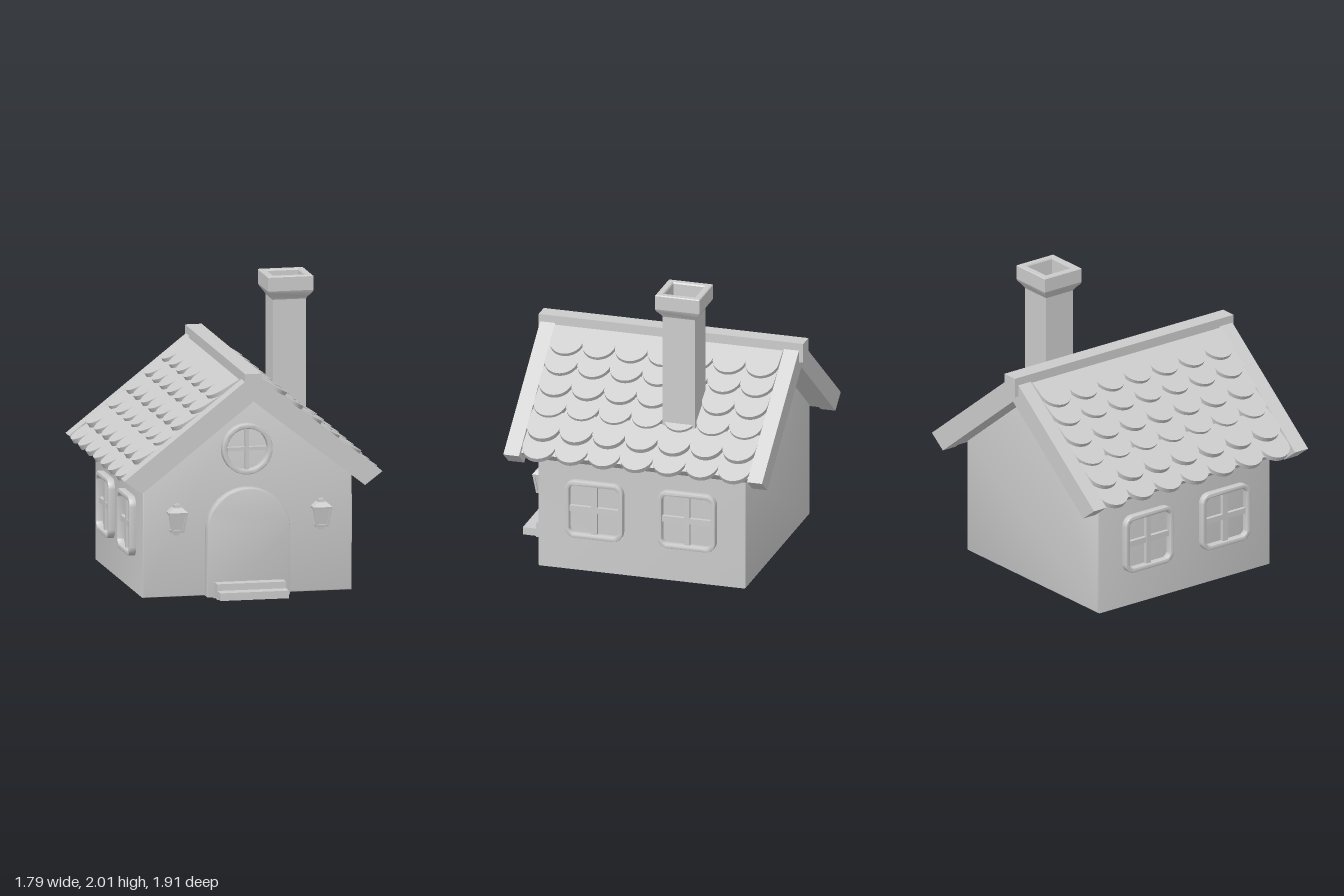
import * as THREE from 'three';
import { toCreasedNormals } from 'three/addons/utils/BufferGeometryUtils.js';

const mat = new THREE.MeshStandardMaterial({ color: 0xcccccc });

function add(parent, name, geo, x = 0, y = 0, z = 0) {
  const m = new THREE.Mesh(geo, mat);
  m.name = name;
  m.position.set(x, y, z);
  parent.add(m);
  return m;
}

function group(parent, name, x = 0, y = 0, z = 0) {
  const g = new THREE.Group();
  g.name = name;
  g.position.set(x, y, z);
  parent.add(g);
  return g;
}

const polygon = pts => new THREE.Shape(pts.map(p => new THREE.Vector2(p[0], p[1])));

// Extrude a shape from z0 to z1, keeping the bevel inside that range
function extrude(shape, z0, z1, bevel = 0) {
  const g = new THREE.ExtrudeGeometry(shape, {
    depth: z1 - z0 - 2 * bevel, curveSegments: 20, bevelEnabled: bevel > 0,
    bevelSize: bevel, bevelThickness: bevel, bevelOffset: -bevel, bevelSegments: 2,
  });
  g.translate(0, 0, z0 + bevel);
  return toCreasedNormals(g, 0.6);
}

// Box given by its limits
function box(parent, name, x0, x1, y0, y1, z0, z1) {
  return add(parent, name, new THREE.BoxGeometry(x1 - x0, y1 - y0, z1 - z0),
    (x0 + x1) / 2, (y0 + y1) / 2, (z0 + z1) / 2);
}

// Round-topped doorway: half width r, straight sides up to y = spring
function arch(r, spring) {
  const s = new THREE.Shape();
  s.moveTo(-r, 0);
  s.lineTo(r, 0);
  s.lineTo(r, spring);
  s.absarc(0, spring, r, 0, Math.PI, false);
  s.closePath();
  return s;
}

function roundedSquare(h, r) {
  const s = new THREE.Shape(), k = h - r;
  s.absarc(k, k, r, 0, Math.PI / 2);
  s.absarc(-k, k, r, Math.PI / 2, Math.PI);
  s.absarc(-k, -k, r, Math.PI, Math.PI * 1.5);
  s.absarc(k, -k, r, Math.PI * 1.5, Math.PI * 2);
  s.closePath();
  return s;
}

function circle(r) {
  return new THREE.Shape().absarc(0, 0, r, 0, Math.PI * 2);
}

// Framed window with crossed bars, facing +z
function windowUnit(parent, name, outer, inner, half, bar, depth) {
  const w = group(parent, name);
  outer.holes.push(inner);
  add(w, 'windowFrame', extrude(outer, -0.01, depth, 0.006));
  box(w, 'windowBarUpright', -bar / 2, bar / 2, -half, half, -0.01, depth * 0.6);
  box(w, 'windowBarCross', -half, half, -bar / 2, bar / 2, -0.01, depth * 0.55);
  return w;
}

// Wall lantern: tapered square body, corner bars, caps
function lantern(parent, x) {
  const l = group(parent, 'lantern', x, 0, 0.722);
  const taper = (name, top, bottom, y0, y1) => {
    const g = new THREE.CylinderGeometry(top * Math.SQRT2, bottom * Math.SQRT2, y1 - y0, 4);
    g.rotateY(Math.PI / 4);
    return add(l, name, toCreasedNormals(g, 0.5), 0, (y0 + y1) / 2, 0);
  };
  taper('lanternFinial', 0.018, 0.02, 0.61, 0.635);
  taper('lanternRoof', 0.035, 0.065, 0.585, 0.612);
  taper('lanternRim', 0.065, 0.062, 0.568, 0.585);
  taper('lanternGlass', 0.052, 0.034, 0.455, 0.57);
  taper('lanternBase', 0.046, 0.043, 0.445, 0.462);
  taper('lanternFoot', 0.018, 0.015, 0.425, 0.446);
  for (const sx of [-1, 1]) for (const sz of [-1, 1]) {
    const b = add(l, 'lanternCornerBar', new THREE.BoxGeometry(0.014, 0.115, 0.014),
      sx * 0.047, 0.514, sz * 0.047);
    b.rotation.set(sz * 0.15, 0, -sx * 0.15);
  }
}

// Roof chevron between an upper and a lower gable line
const chevron = (top, eaveX, eaveY, bottom, innerX, innerY) => polygon([
  [0, top], [-eaveX, eaveY], [-innerX, innerY], [0, bottom], [innerX, innerY], [eaveX, eaveY],
]);

// Scalloped tiles on the +x slope, centred on local z = 0
function tileSlope(parent, name) {
  const side = group(parent, name, 0, 0, -0.02);
  const pitch = 1.6 / 7, r = pitch / 2, a = 0.53;
  const s = new THREE.Shape();
  s.absarc(0, r, r, Math.PI, Math.PI * 2);
  s.lineTo(r, 0.235);
  s.lineTo(-r, 0.235);
  s.closePath();
  const geo = extrude(s, -0.035, 0);
  geo.applyMatrix4(new THREE.Matrix4().makeBasis(
    new THREE.Vector3(0, 0, -1),
    new THREE.Vector3(-Math.cos(a), Math.sin(a), 0),
    new THREE.Vector3(Math.sin(a), Math.cos(a), 0)));
  const tips = [[0.895, 0.835], [0.787, 0.94], [0.64, 1.05], [0.52, 1.155], [0.392, 1.262], [0.277, 1.36]];
  for (const [x, y] of tips)
    for (let i = -3; i <= 3; i++) add(side, 'roofTile', geo, x, y, i * pitch);
  return side;
}

export function createModel() {
  const house = new THREE.Group();
  house.name = 'cottage';

  // Walls
  add(house, 'walls', extrude(polygon([
    [-0.718, 0], [0.718, 0], [0.718, 0.8], [0, 1.37], [-0.718, 0.8],
  ]), -0.76, 0.7, 0.012));

  // Roof: slab, gable boards, ridge, tiles
  const roof = group(house, 'roof');
  add(roof, 'roofSlab', extrude(chevron(1.496, 0.835, 0.84, 1.345, 0.735, 0.77), -0.82, 0.78));
  const board = chevron(1.527, 0.885, 0.835, 1.345, 0.765, 0.745);
  add(roof, 'frontGableBoard', extrude(board, 0.78, 0.89));
  add(roof, 'backGableBoard', extrude(board, -0.925, -0.82));
  box(roof, 'ridgeBeam', -0.059, 0.056, 1.4, 1.535, -0.955, 0.9);
  tileSlope(roof, 'leftTiles');
  tileSlope(roof, 'rightTiles').rotation.y = Math.PI;

  // Square chimney with flared, hollow cap
  const profile = [
    [0.114, 0.9], [0.114, 1.835], [0.122, 1.85], [0.15, 1.885], [0.156, 1.9], [0.156, 1.994],
    [0.15, 2], [0.114, 2], [0.108, 1.99], [0.102, 1.85], [0, 1.85],
  ].map(([r, y]) => new THREE.Vector2(r * Math.SQRT2, y));
  const chimney = new THREE.LatheGeometry(profile, 4, Math.PI / 4);
  add(house, 'chimney', toCreasedNormals(chimney, 0.3), 0.475, 0, -0.25);

  // Door, frame, knob and steps
  const entrance = group(house, 'entrance', -0.007, 0, 0);
  const frame = arch(0.283, 0.45);
  frame.holes.push(arch(0.238, 0.448));
  add(entrance, 'doorFrame', extrude(frame, 0.69, 0.78, 0.005));
  add(entrance, 'door', extrude(arch(0.24, 0.448), 0.69, 0.725));
  add(entrance, 'doorKnob', new THREE.SphereGeometry(0.027, 20, 14), 0.182, 0.345, 0.75);
  box(entrance, 'upperStep', -0.236, 0.236, 0, 0.105, 0.7, 0.865);
  box(entrance, 'lowerStep', -0.236, 0.236, 0.008, 0.06, 0.7, 0.957);

  // Round gable window
  windowUnit(house, 'roundWindow', circle(0.172), circle(0.14), 0.143, 0.024, 0.06)
    .position.set(-0.01, 0.995, 0.7);

  // Two windows on each side wall
  for (const side of [-1, 1]) for (const z of [0.297, -0.353]) {
    const w = windowUnit(house, 'sideWindow', roundedSquare(0.204, 0.07),
      roundedSquare(0.172, 0.04), 0.174, 0.04, 0.046);
    w.position.set(side * 0.718, 0.447, z);
    w.rotation.y = side * Math.PI / 2;
  }

  // Lanterns either side of the door
  lantern(house, -0.49);
  lantern(house, 0.5);

  return house;
}
